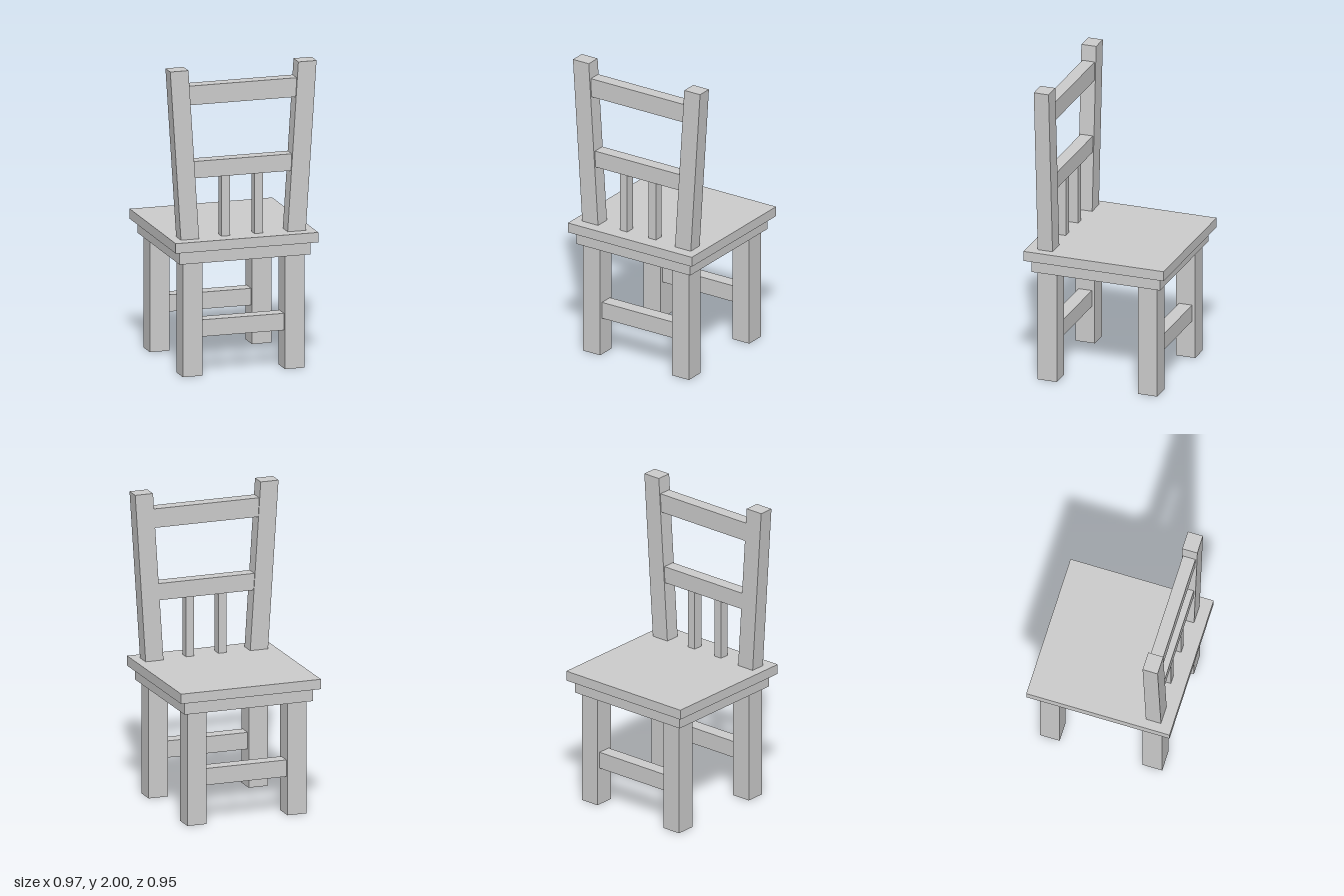
import * as THREE from 'three';

const material = new THREE.MeshStandardMaterial({ color: 0xcccccc, flatShading: true });

export function createModel() {
  const chair = new THREE.Group();
  chair.name = 'chair';

  // Box given by its size, centre x and z, and bottom and top heights
  function block(name, width, depth, x, z, bottom, top) {
    const mesh = new THREE.Mesh(new THREE.BoxGeometry(width, top - bottom, depth), material);
    mesh.name = name;
    mesh.position.set(x, (bottom + top) / 2, z);
    chair.add(mesh);
    return mesh;
  }

  // Seat board and the apron below it
  block('seat', 0.95, 0.95, 0, 0, 0.83, 0.895);
  block('apron', 0.872, 0.872, 0, 0, 0.745, 0.83);

  // Legs, with a stretcher joining each left and right pair
  const legOffset = 0.34;
  for (const [end, sz] of [['front', 1], ['back', -1]]) {
    for (const [side, sx] of [['Left', 1], ['Right', -1]]) {
      block(`${end}${side}Leg`, 0.13, 0.13, sx * legOffset, sz * legOffset, 0, 0.745);
    }
    block(`${end}Stretcher`, 0.56, 0.09, 0, sz * legOffset, 0.25, 0.36);
  }

  // Backrest posts, sheared outward so their ends stay level
  const backZ = 0.35;
  for (const [side, sx] of [['left', 1], ['right', -1]]) {
    const post = block(`${side}BackPost`, 0.121, 0.1, sx * 0.391, backZ, 0.895, 2);
    const p = post.geometry.attributes.position;
    for (let i = 0; i < p.count; i++) p.setX(i, p.getX(i) + sx * 0.0645 * p.getY(i));
    post.geometry.computeVertexNormals();
  }

  // Backrest rails and the two slats under the lower one
  block('topRail', 0.715, 0.083, 0, 0.348, 1.77, 1.895);
  block('lowerRail', 0.65, 0.083, 0, 0.348, 1.29, 1.4);
  for (const [side, x] of [['left', 0.108], ['right', -0.112]]) {
    block(`${side}Slat`, 0.055, 0.065, x, 0.348, 0.895, 1.29);
  }

  return chair;
}
